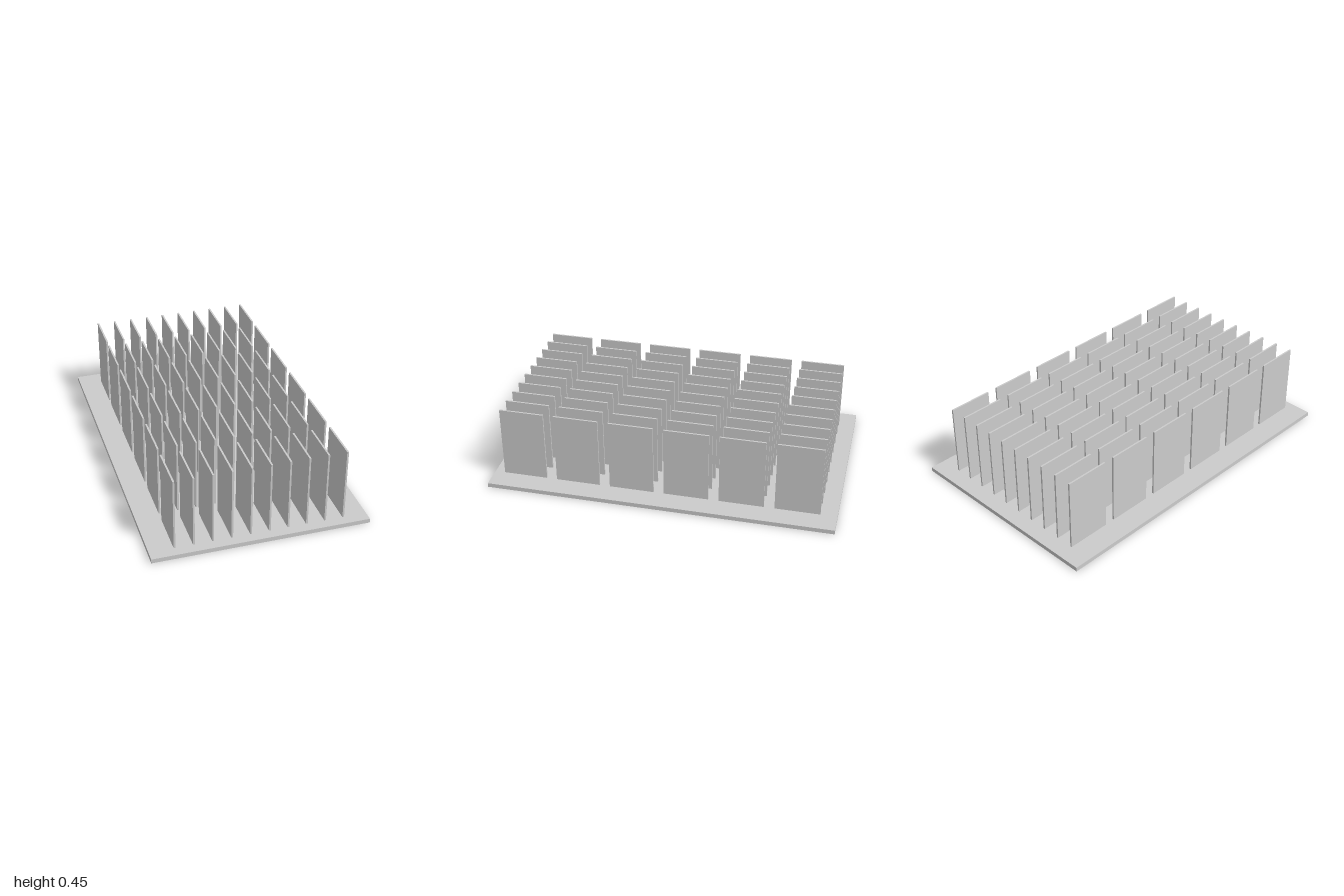
import * as THREE from 'three';

export function createModel() {
  const model = new THREE.Group();
  const material = new THREE.MeshStandardMaterial({ color: 0xcccccc, flatShading: true });

  // Flat base plate
  const baseHeight = 0.025;
  const base = new THREE.Mesh(new THREE.BoxGeometry(1.229, baseHeight, 2), material);
  base.name = 'basePlate';
  base.position.y = baseHeight / 2;
  model.add(base);

  // Thin upright fins: 10 columns across, 6 rows deep
  const columns = 10, rows = 6;
  const finTop = 0.449, finHeight = finTop - baseHeight;
  const finGeometry = new THREE.BoxGeometry(0.01, finHeight, 0.258);
  const fins = new THREE.Group();
  fins.name = 'coolingFins';
  for (let row = 0; row < rows; row++) {
    for (let col = 0; col < columns; col++) {
      const fin = new THREE.Mesh(finGeometry, material);
      fin.name = `fin_${row + 1}_${col + 1}`;
      fin.position.set(-0.473 + col * 0.106, baseHeight + finHeight / 2, -0.777 + row * 0.318);
      fins.add(fin);
    }
  }
  model.add(fins);
  return model;
}
